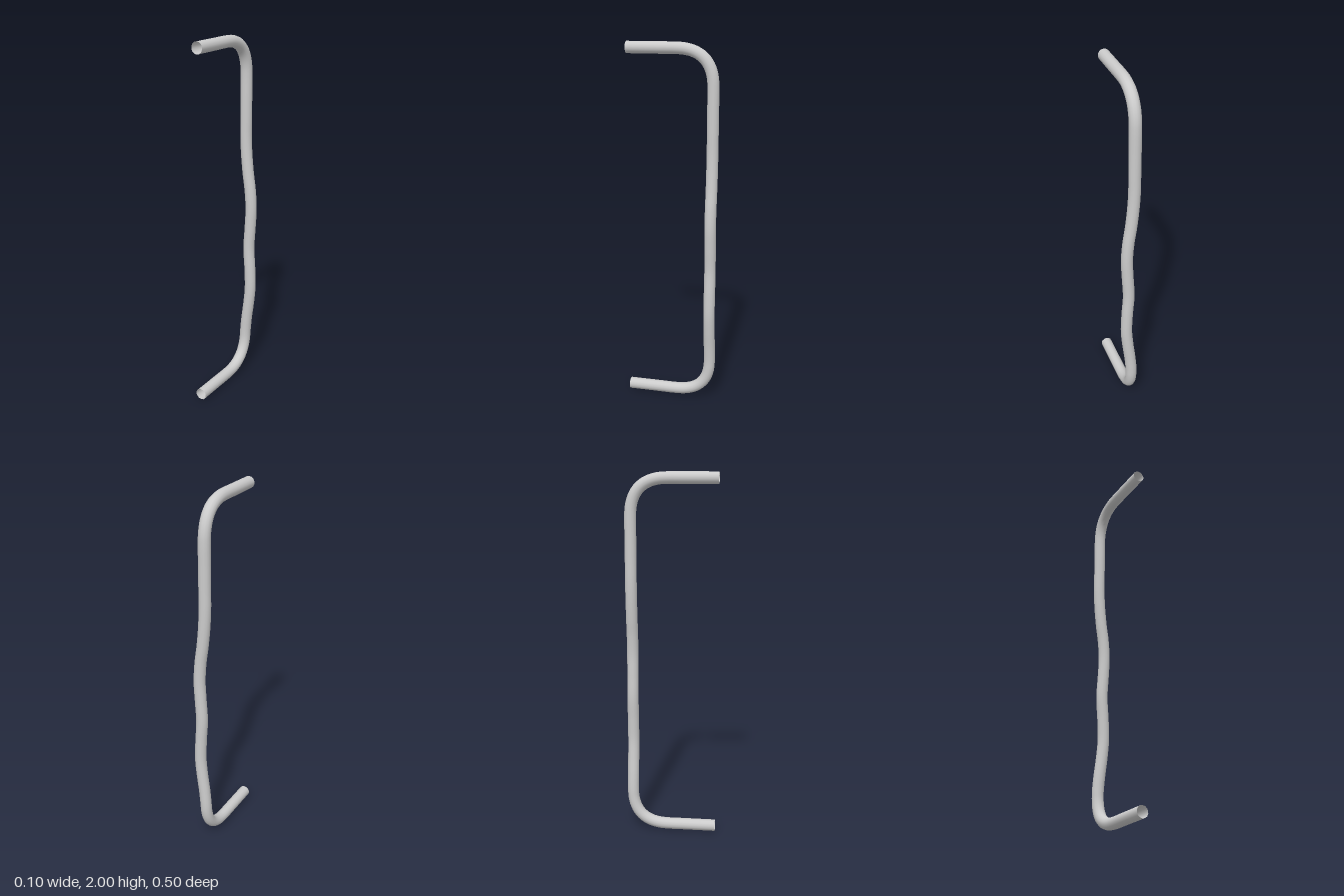
import * as THREE from 'three';

const RADIUS = 0.032;
const X = -0.02, BACK = -0.218, FRONT = 0.25;
const BOTTOM = RADIUS, TOP = 2 - RADIUS;
const BEND = 0.2;

// Points along a rounded corner, running from the arm into the upright
function bend(y, dir) {
  return new THREE.QuadraticBezierCurve3(
    new THREE.Vector3(X, y, BACK + BEND),
    new THREE.Vector3(X, y, BACK),
    new THREE.Vector3(X + (dir > 0 ? 0.006 : 0), y + dir * BEND, BACK)
  ).getPoints(8);
}

// Straight arm running from the open end towards the corner
function arm(y) {
  return [FRONT, 0.16, 0.07].map((z) => new THREE.Vector3(X, y, z));
}

export function createModel() {
  const group = new THREE.Group();
  group.name = 'handle';

  // Gentle finger waves of the upright: [x, y]
  const grip = [
    [-0.006, 0.32], [0.007, 0.42], [0.016, 0.52], [0.013, 0.64], [0.005, 0.77],
    [0.012, 0.9], [0.017, 1.01], [0.01, 1.12], [-0.004, 1.22], [-0.015, 1.33],
    [-0.02, 1.43], [-0.02, 1.53], [-0.02, 1.65],
  ].map(([x, y]) => new THREE.Vector3(x, y, BACK));

  const path = new THREE.CatmullRomCurve3([
    ...arm(BOTTOM), ...bend(BOTTOM, 1),
    ...grip,
    ...bend(TOP, -1).reverse(), ...arm(TOP).reverse(),
  ]);
  path.arcLengthDivisions = 1000;

  // One hollow tube, open at both ends
  const tube = new THREE.Mesh(
    new THREE.TubeGeometry(path, 160, RADIUS, 14, false),
    new THREE.MeshStandardMaterial({ color: 0xcccccc, side: THREE.DoubleSide })
  );
  tube.name = 'handleTube';
  group.add(tube);
  return group;
}
